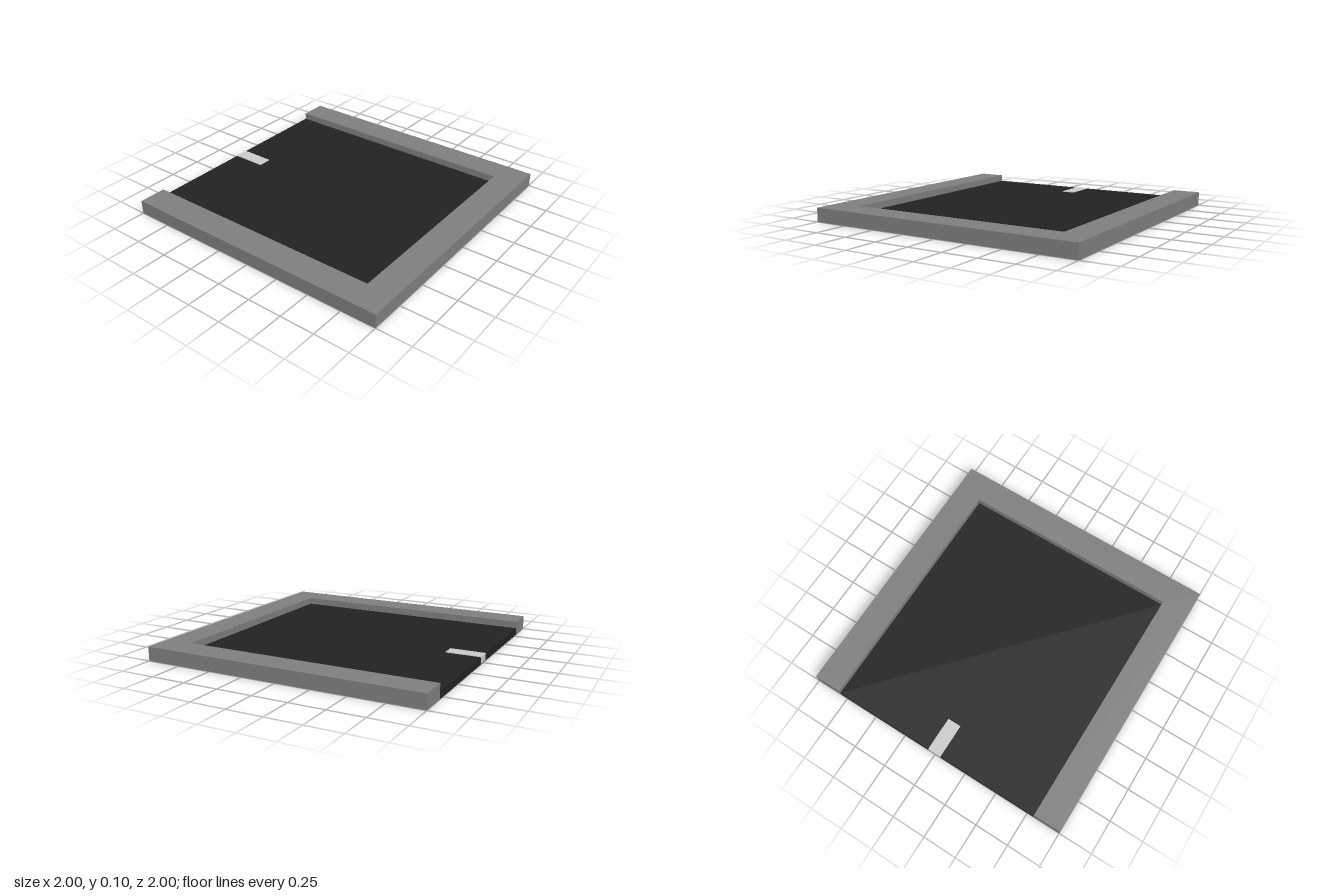
import * as THREE from 'three';

export function createModel() {
  const group = new THREE.Group();
  group.name = 'tray';

  const addPart = (name, geometry, color) => {
    const mesh = new THREE.Mesh(geometry, new THREE.MeshStandardMaterial({ color, flatShading: true }));
    mesh.name = name;
    group.add(mesh);
    return mesh;
  };

  // U-shaped rim, open at the back; the outline's +y becomes -z
  const outline = [[-1, -1], [1, -1], [1, 1], [0.8, 1], [0.8, -0.8], [-0.8, -0.8], [-0.8, 1], [-1, 1]];
  const shape = new THREE.Shape(outline.map(([x, y]) => new THREE.Vector2(x, y)));
  const rim = new THREE.ExtrudeGeometry(shape, { depth: 0.1, bevelEnabled: false });
  addPart('rim', rim.rotateX(-Math.PI / 2), 0x808080);

  // Recessed floor, half the height of the rim
  addPart('floor', new THREE.BoxGeometry(1.6, 0.05, 1.8), 0x222222).position.set(0, 0.025, -0.1);

  // Light strip at the open edge, slightly proud of the floor
  addPart('strip', new THREE.BoxGeometry(0.1, 0.05, 0.25), 0xcccccc).position.set(0, 0.029, -0.8755);

  return group;
}
